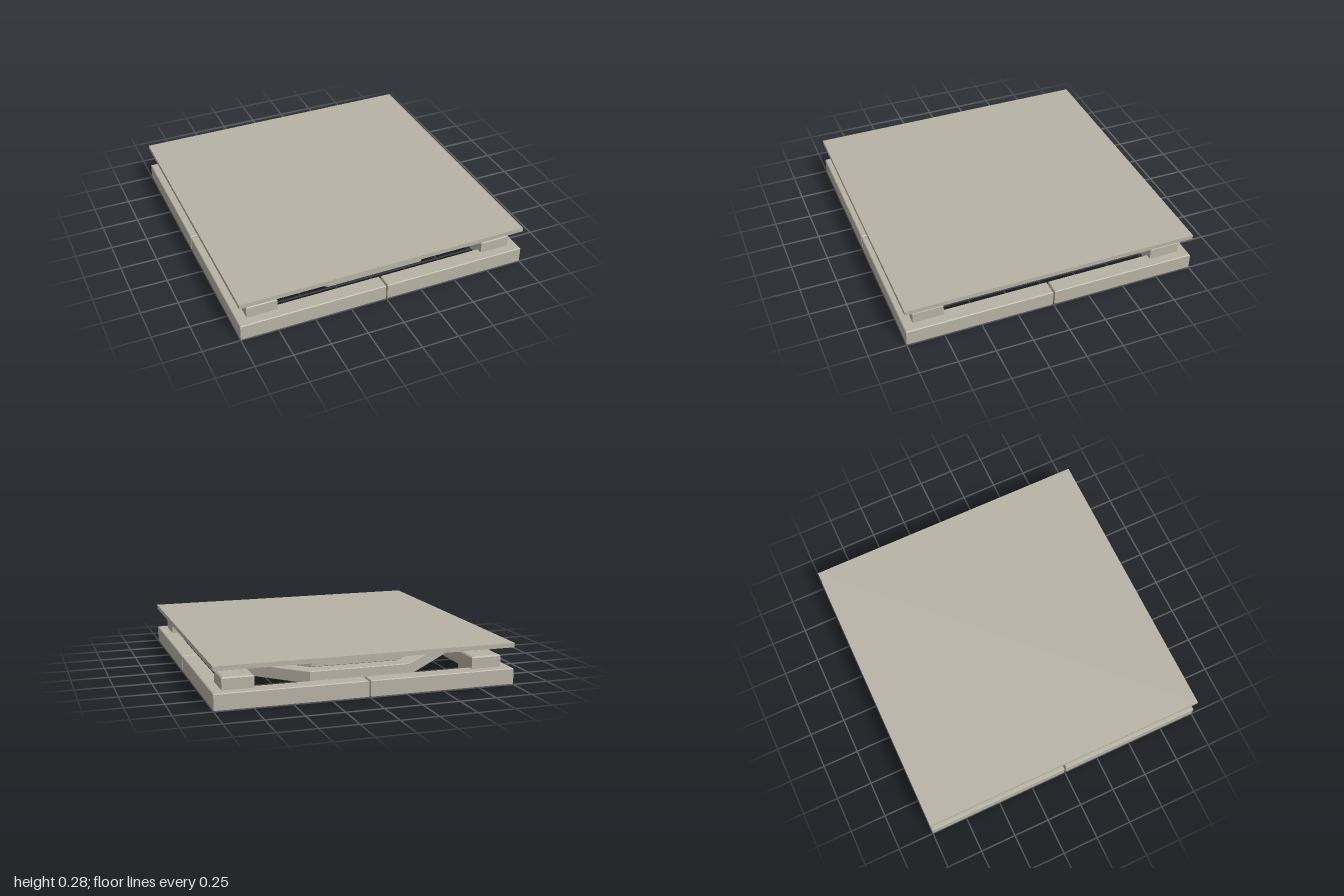
import * as THREE from 'three';

const stone = new THREE.MeshStandardMaterial({ color: 0xb7b3a5, flatShading: true });
const dark = new THREE.MeshStandardMaterial({ color: 0x1c242c, flatShading: true });

const polygon = (points) => points.map(([x, y]) => new THREE.Vector2(x, y));

// Regular octagon with flats facing the axes, given its apothem
const octagon = (apothem) => polygon([...Array(8).keys()].map((k) => {
  const a = (k + 0.5) * Math.PI / 4, r = apothem / Math.cos(Math.PI / 8);
  return [r * Math.cos(a), r * Math.sin(a)];
}));

const square = (h, cx = 0, cy = 0) =>
  polygon([[cx - h, cy - h], [cx + h, cy - h], [cx + h, cy + h], [cx - h, cy + h]]);

// Horizontal slab between two heights, with optional hole and chamfered edges
function slab(name, outline, hole, y0, y1, bevel = 0, material = stone) {
  const shape = new THREE.Shape(outline);
  if (hole) shape.holes.push(new THREE.Path(hole));
  const geometry = new THREE.ExtrudeGeometry(shape, {
    depth: y1 - y0 - 2 * bevel, bevelEnabled: bevel > 0, bevelSize: bevel,
    bevelThickness: bevel, bevelOffset: -bevel, bevelSegments: 1,
  });
  geometry.rotateX(-Math.PI / 2).translate(0, y0 + bevel, 0);
  const mesh = new THREE.Mesh(geometry, material);
  mesh.name = name;
  return mesh;
}

function box(name, w, h, d, x, y, z, material = stone) {
  const mesh = new THREE.Mesh(new THREE.BoxGeometry(w, h, d), material);
  mesh.position.set(x, y, z);
  mesh.name = name;
  return mesh;
}

export function createModel() {
  const model = new THREE.Group();
  model.name = 'floorPlatform';

  // Top plate
  model.add(box('topPlate', 2, 0.03, 2, 0, 0.265, 0));

  // Stepped octagonal collar under the plate
  model.add(slab('upperRing', octagon(0.64), octagon(0.55), 0.205, 0.25));
  model.add(slab('darkGasket', octagon(0.665), octagon(0.575), 0.188, 0.208, 0, dark));
  model.add(slab('middleRing', octagon(0.72), octagon(0.585), 0.15, 0.189, 0.004));
  model.add(slab('lowerRing', octagon(0.82), octagon(0.63), 0.07, 0.151, 0.004));

  // Four corners: an L-shaped frame piece and a support block with a socket
  const inner = 0.89, gap = 0.006;
  const corner = polygon([[gap, inner], [inner, inner], [inner, gap], [1, gap], [1, 1], [gap, 1]]);
  for (let i = 0; i < 4; i++) {
    const group = new THREE.Group();
    group.name = 'corner' + (i + 1);
    group.add(slab('framePiece', corner, null, 0, 0.11, 0.005));
    group.add(slab('supportBlock', square(0.103, 0.832, 0.832), square(0.048, 0.832, 0.832), 0.05, 0.19, 0.008));
    group.add(box('socketCap', 0.13, 0.08, 0.13, 0.832, 0.149, -0.832));
    group.rotation.y = i * Math.PI / 2;
    model.add(group);
  }

  // Two thin rails with end pegs beneath the plate
  for (const z of [-0.145, 0.145]) {
    model.add(box('underRail', 0.52, 0.008, 0.018, 0, 0.247, z, dark));
    for (const x of [-0.26, 0.26]) model.add(box('railPeg', 0.065, 0.024, 0.065, x, 0.239, z));
  }
  return model;
}
